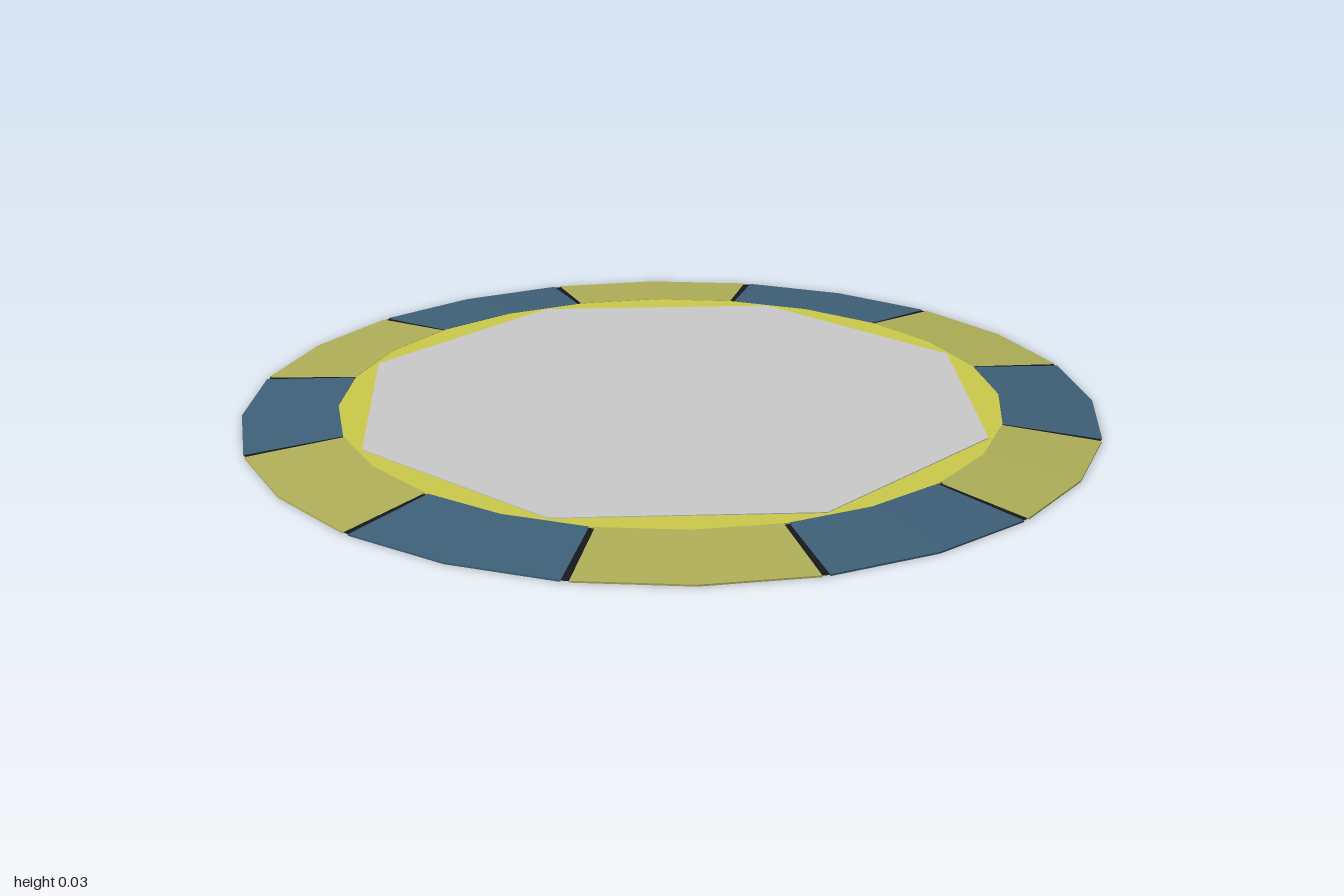
import * as THREE from 'three';

const mat = (name, color, side = THREE.FrontSide) => {
  const m = new THREE.MeshStandardMaterial({ color, side });
  m.name = name;
  return m;
};

export function createModel() {
  const group = new THREE.Group();
  const yellow = mat('yellow', 0xc8c84b);
  const olive = mat('olive', 0xaeae58, THREE.DoubleSide);
  const blue = mat('blue', 0x3e6078, THREE.DoubleSide);
  const black = mat('black', 0x16191c, THREE.DoubleSide);
  const grey = mat('light grey', 0xc8c8c8);
  const paleOlive = mat('pale olive', 0xc2c29c);
  const paleViolet = mat('pale violet grey', 0xc2c2cc);

  const add = (name, geometry, material, y = 0) => {
    const mesh = new THREE.Mesh(geometry, material);
    mesh.name = name;
    mesh.position.y = y;
    group.add(mesh);
    return mesh;
  };
  // Faceted slice of a revolved profile
  const slice = (points, start, length, segments) => {
    const g = new THREE.LatheGeometry(
      points.map(([r, y]) => new THREE.Vector2(r, y)), segments, start, length).toNonIndexed();
    g.computeVertexNormals();
    return g;
  };

  // Sloping rim: twelve panels in alternating colours with dark joints between
  const inner = 0.775, outer = 1, step = Math.PI / 6, gap = 0.009;
  const panelProfile = [
    [inner, 0.018], [outer, 0], [outer, 0.004], [inner, 0.0245], [inner, 0.018],
  ];
  const jointProfile = [[inner, 0.021], [outer - 0.002, 0.002]];
  for (let i = 0; i < 12; i++) {
    const start = (i - 0.5) * step;
    add('rimPanel' + (i + 1), slice(panelProfile, start + gap, step - 2 * gap, 2), i % 2 ? blue : olive);
    add('rimJoint' + (i + 1), slice(jointProfile, start - gap, 2 * gap, 1), black);
  }

  // Central plate
  add('centreDisc', new THREE.CylinderGeometry(inner, inner, 0.006, 24), yellow, 0.021);

  // Octagonal top inlay
  add('octagonInlay', new THREE.CylinderGeometry(0.758, 0.758, 0.002, 8, 1, false, Math.PI / 8), grey, 0.025);

  // Round markings under the plate
  const underside = (name, radius, material, y) => {
    add(name, new THREE.CircleGeometry(radius, 48).rotateX(Math.PI / 2), material, y);
  };
  underside('undersideRing', 0.5, paleOlive, 0.0172);
  underside('undersideCentre', 0.165, paleViolet, 0.0164);

  return group;
}
